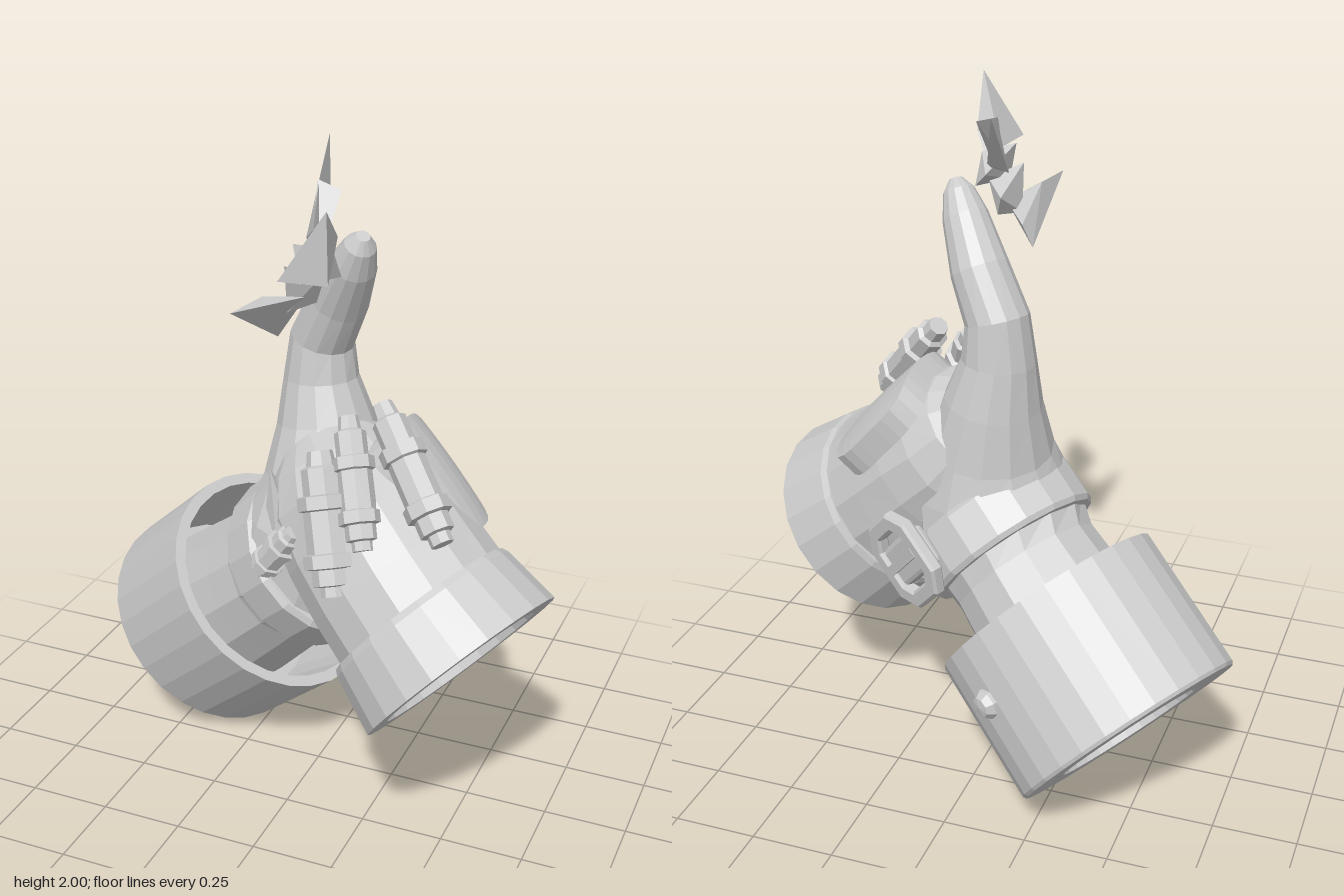
import * as THREE from 'three';
import { ConvexGeometry } from 'three/addons/geometries/ConvexGeometry.js';
import { RoundedBoxGeometry } from 'three/addons/geometries/RoundedBoxGeometry.js';

const V = (x, y, z) => new THREE.Vector3(x, y, z);
const flat = new THREE.MeshStandardMaterial({ color: 0xcccccc, flatShading: true });
const flatDouble = new THREE.MeshStandardMaterial({ color: 0xcccccc, flatShading: true, side: THREE.DoubleSide });
const UP = V(0, 1, 0);

function named(name, geometry, material = flat) {
  const mesh = new THREE.Mesh(geometry, material);
  mesh.name = name;
  return mesh;
}

// Loft of round sections [x, y, z, radius], closed at both ends
function loft(sections, sides) {
  const centres = sections.map((s) => V(s[0], s[1], s[2]));
  const last = sections.length - 1;
  const pos = [], idx = [];
  sections.forEach((s, i) => {
    const t = centres[Math.min(i + 1, last)].clone().sub(centres[Math.max(i - 1, 0)]).normalize();
    const u = t.clone().cross(V(0, 0, 1)).normalize();
    const v = t.clone().cross(u);
    for (let j = 0; j < sides; j++) {
      const a = (j / sides) * Math.PI * 2;
      const p = centres[i].clone().addScaledVector(u, Math.cos(a) * s[3]).addScaledVector(v, Math.sin(a) * s[3]);
      pos.push(p.x, p.y, p.z);
    }
  });
  for (let i = 0; i < last; i++) {
    for (let j = 0; j < sides; j++) {
      const a = i * sides + j, b = i * sides + ((j + 1) % sides);
      idx.push(a, b, b + sides, a, b + sides, a + sides);
    }
  }
  const start = pos.length / 3;
  pos.push(...centres[0].toArray(), ...centres[last].toArray());
  for (let j = 0; j < sides; j++) {
    const k = (j + 1) % sides;
    idx.push(start, k, j, start + 1, last * sides + j, last * sides + k);
  }
  const g = new THREE.BufferGeometry();
  g.setAttribute('position', new THREE.Float32BufferAttribute(pos, 3));
  g.setIndex(idx);
  g.computeVertexNormals();
  return g;
}

// Turned part whose profile [radius, height] runs along an axis from a base point
function turned(name, profile, base, axis, sides, squash = 1) {
  const g = new THREE.LatheGeometry(profile.map((p) => new THREE.Vector2(p[0], p[1])), sides);
  const mesh = named(name, g, flatDouble);
  mesh.scale.z = squash;
  mesh.quaternion.setFromUnitVectors(UP, axis.clone().normalize());
  mesh.position.copy(base);
  return mesh;
}

// Places an object with its local z along a normal and its local y close to a given direction
function face(object, position, normal, up) {
  const z = normal.clone().normalize();
  const x = up.clone().cross(z).normalize();
  object.quaternion.setFromRotationMatrix(new THREE.Matrix4().makeBasis(x, z.clone().cross(x), z));
  object.position.copy(position);
  return object;
}

// Rectangle with cut corners
function outline(w, h, r, Type = THREE.Shape) {
  const s = new Type(), x = w / 2, y = h / 2;
  s.moveTo(-x + r, -y);
  s.lineTo(x - r, -y); s.lineTo(x, -y + r);
  s.lineTo(x, y - r); s.lineTo(x - r, y);
  s.lineTo(-x + r, y); s.lineTo(-x, y - r);
  s.lineTo(-x, -y + r); s.closePath();
  return s;
}

// Pad with rounded corners, bent across its width to hug the hand
function bentPad(w, h, depth, bend) {
  const g = new THREE.BoxGeometry(w, h, depth, 8, 8, 1);
  const p = g.attributes.position;
  for (let i = 0; i < p.count; i++) {
    const xn = p.getX(i) / (w / 2), yn = p.getY(i) / (h / 2);
    const x = p.getX(i) * (1 - 0.16 * yn ** 4), y = p.getY(i) * (1 - 0.14 * xn ** 4);
    p.setXYZ(i, x, y, p.getZ(i) - bend * x * x - 0.2 * y * y);
  }
  return g;
}

// Banded cartridge between two points
function cartridge(from, to, r) {
  const dir = to.clone().sub(from), L = dir.length();
  const profile = [
    [0, 0], [r * 0.55, 0], [r * 0.65, L * 0.1], [r * 0.9, L * 0.12], [r * 0.9, L * 0.3],
    [r * 1.2, L * 0.31], [r * 1.2, L * 0.4], [r, L * 0.41], [r, L * 0.7],
    [r * 1.2, L * 0.71], [r * 1.2, L * 0.8], [r * 0.9, L * 0.81], [r * 0.9, L * 0.92],
    [r * 0.6, L * 0.93], [r * 0.6, L], [0, L],
  ];
  return turned('cartridge', profile, from, dir, 8);
}

export function createModel() {
  const model = new THREE.Group();
  const cuffAxis = V(0.68, 0.64, 0.34).normalize();
  const collarAxis = V(0.73, -0.63, 0.24).normalize();

  // Wide cuff, open around the wrist, with a recessed underside
  model.add(turned('cuff', [
    [0, 0.08], [0.22, 0.08], [0.235, 0], [0.365, 0], [0.372, 0.01], [0.37, 0.45], [0.335, 0.45], [0.3, 0.12], [0, 0.12],
  ], V(-0.49, 0.272, -0.255), cuffAxis, 28, 0.9));

  // Rivet on the cuff
  model.add(turned('rivet', [[0.047, -0.03], [0.045, 0.018], [0.03, 0.038], [0, 0.043]],
    V(-0.125, 0.41, -0.44), V(0.5, -0.1, -0.85), 8));

  // Wrist running into the upright thumb
  model.add(named('wristAndThumb', loft([
    [-0.4, 0.365, -0.2, 0.27], [-0.19, 0.56, -0.1, 0.245], [-0.1, 0.645, -0.055, 0.235], [0, 0.74, 0, 0.262],
    [0.04, 0.88, 0.02, 0.24], [0.03, 1.02, -0.01, 0.19], [0.01, 1.17, -0.035, 0.145], [-0.01, 1.3, -0.045, 0.11],
    [-0.005, 1.42, -0.045, 0.095], [0.06, 1.55, -0.01, 0.086], [0.125, 1.68, 0.05, 0.067],
    [0.155, 1.745, 0.077, 0.046], [0.168, 1.775, 0.09, 0.02],
  ], 14)));

  // Palm running from the collar up to the base of the thumb
  model.add(named('palm', loft([
    [0.43, 0.68, 0.18, 0.285], [0.3, 0.8, 0.13, 0.28], [0.2, 0.9, 0.09, 0.272], [0.11, 0.99, 0.05, 0.25],
    [0.05, 1.07, 0.02, 0.2], [0.0, 1.13, 0.0, 0.12],
  ], 16)));

  // Flared collar with a recessed opening
  model.add(turned('collar', [
    [0, 0], [0.295, 0], [0.305, 0.02], [0.33, 0.2], [0.262, 0.2], [0.24, 0.12], [0, 0.12],
  ], V(0.385, 0.715, 0.17), collarAxis, 22));

  // Wrist strap
  model.add(turned('strap', [[0.24, 0], [0.27, 0], [0.28, 0.015], [0.28, 0.145], [0.265, 0.16], [0.22, 0.16], [0.24, 0]],
    V(-0.06, 0.685, -0.035), cuffAxis, 18, 0.97));

  // Buckle: cut-cornered frame with a pin and a tongue
  const buckle = new THREE.Group();
  buckle.name = 'buckle';
  const frameShape = outline(0.235, 0.265, 0.055);
  frameShape.holes.push(outline(0.165, 0.195, 0.035, THREE.Path));
  buckle.add(named('buckleFrame', new THREE.ExtrudeGeometry(frameShape,
    { depth: 0.025, bevelSize: 0.008, bevelThickness: 0.008, bevelSegments: 1 })));
  const tongue = named('buckleTongue', new RoundedBoxGeometry(0.2, 0.13, 0.06, 1, 0.015));
  tongue.position.z = -0.01;
  const pin = named('bucklePin', new THREE.BoxGeometry(0.18, 0.03, 0.03));
  pin.position.z = 0.02;
  buckle.add(tongue, pin);
  model.add(face(buckle, V(0.205, 0.71, -0.23), V(0.45, -0.15, -0.88), V(0.65, 0.7, 0.25)));

  // Padded plate on the back of the hand
  model.add(face(named('backPlate', bentPad(0.35, 0.38, 0.08, 1.5)),
    V(0.372, 1.068, 0.03), V(0.74, 0.66, -0.05), V(-0.66, 0.74, -0.1)));

  // Banded cartridges and clasps across the knuckles
  const gear = new THREE.Group();
  gear.name = 'knuckleGear';
  gear.add(cartridge(V(0.24, 1.31, 0.12), V(0.49, 1.01, 0.3), 0.055));
  gear.add(cartridge(V(0.16, 1.28, 0.17), V(0.28, 0.97, 0.35), 0.05));
  gear.add(cartridge(V(0.1, 1.19, 0.23), V(0.21, 0.83, 0.38), 0.065));
  gear.add(cartridge(V(0.05, 0.96, 0.3), V(-0.07, 0.8, 0.27), 0.042));
  [[-0.08, 1.08, 0.17, 0], [0.03, 1.1, 0.22, 0.05]].forEach(([x, y, z, shift]) => {
    gear.add(named('clasp', new ConvexGeometry([
      V(x, y, z), V(-0.08 + shift, 0.97, 0.2), V(0.0 + shift, 0.89, 0.3), V(0.04 + shift, 0.96, 0.3), V(0.01 + shift, 0.93, 0.16),
    ])));
  });
  model.add(gear);

  // Floating cluster of jagged shards above the thumb
  const shards = new THREE.Group();
  shards.name = 'shards';
  [
    [[0, 2, -0.08], [0.07, 1.94, 0.16], [0.12, 1.85, 0.32], [0.13, 1.76, 0.28], [0.04, 1.78, 0.18], [0.07, 1.83, 0.08]],
    [[0.26, 1.98, 0.57], [0.26, 1.79, 0.56], [0.13, 1.79, 0.57], [0.2, 1.85, 0.35], [0.17, 1.79, 0.33], [0.13, 1.8, 0.36]],
    [[0, 1.69, 0.57], [0, 1.53, 0.28], [0.09, 1.66, 0.3], [0.03, 1.6, 0.27], [0.02, 1.69, 0.42]],
    [[0.07, 1.94, 0.17], [0.14, 1.92, 0.18], [0.14, 1.76, 0.32], [0.09, 1.78, 0.28]],
    [[0.08, 1.82, 0.36], [0.17, 1.8, 0.31], [0.17, 1.71, 0.25], [0.1, 1.71, 0.36], [0.12, 1.76, 0.2]],
    [[0.06, 1.76, 0.37], [0.14, 1.73, 0.28], [0.1, 1.63, 0.25], [0.05, 1.62, 0.33], [0.08, 1.69, 0.22]],
  ].forEach((points) => shards.add(named('shard', new ConvexGeometry(points.map((p) => V(...p))))));
  model.add(shards);

  return model;
}
